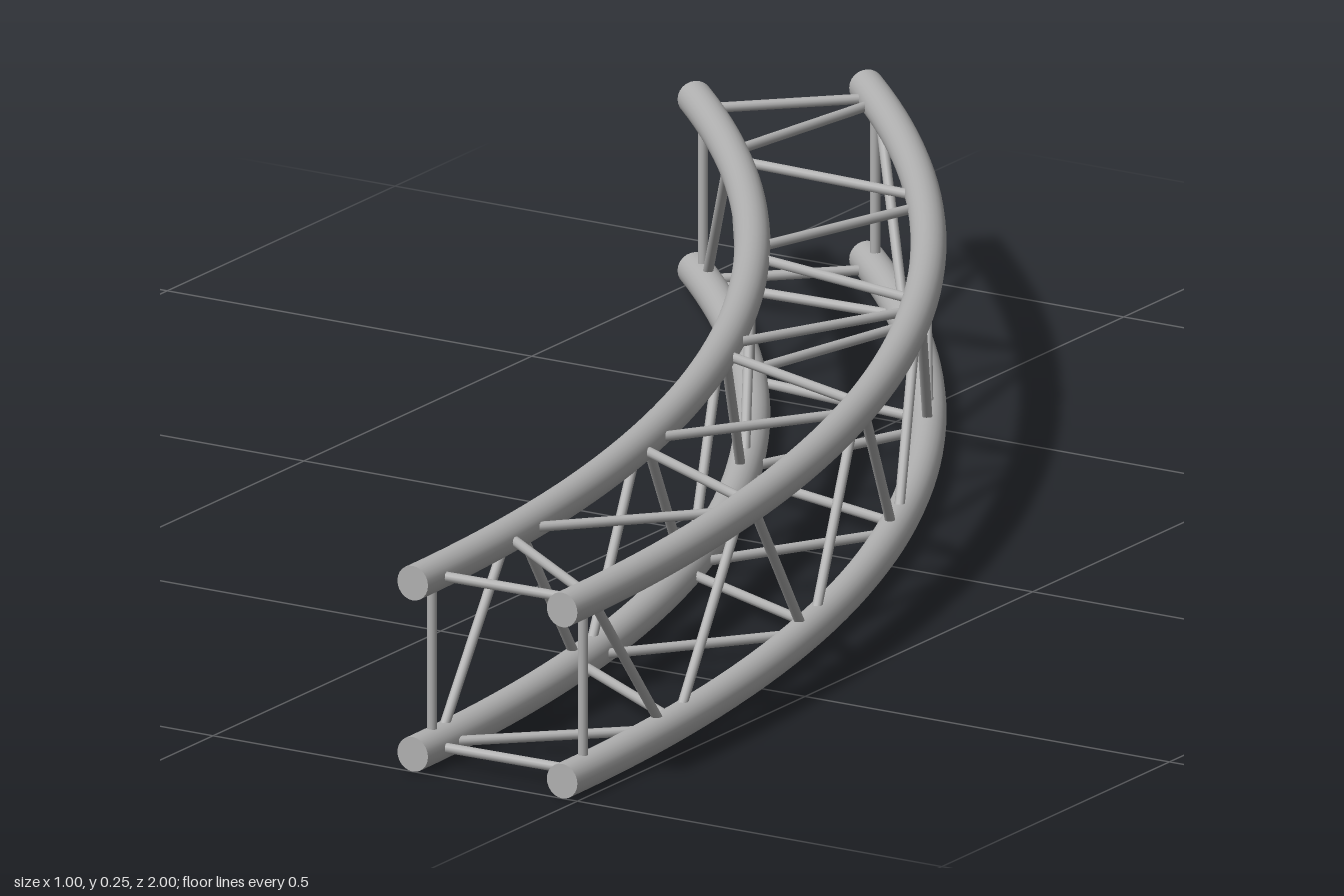
import * as THREE from 'three';

const CX = -2.328, CZ = 1;                 // centre of the bend
const R_IN = 2.602, R_OUT = 2.807;         // chord radii in plan
const Y_LOW = 0.022, Y_HIGH = 0.23;
const SWEEP = Math.PI / 4;
const CHORD_R = 0.021, BRACE_R = 0.006;
const PANELS = 10, END_GAP = 0.0165;       // end gap in radians

const at = (r, y, a) => new THREE.Vector3(CX + r * Math.cos(a), y, CZ - r * Math.sin(a));
const nodeAngle = (n) => END_GAP + (n / PANELS) * (SWEEP - 2 * END_GAP);

class ChordCurve extends THREE.Curve {
  constructor(r, y) {
    super();
    this.r = r;
    this.y = y;
  }
  getPoint(t, target = new THREE.Vector3()) {
    return target.copy(at(this.r, this.y, t * SWEEP));
  }
}

export function createModel() {
  const model = new THREE.Group();
  model.name = 'curvedTruss';
  const metal = new THREE.MeshStandardMaterial({ color: 0xb0b0b0 });
  metal.name = 'aluminium';

  const add = (name, geometry) => {
    const mesh = new THREE.Mesh(geometry, metal);
    mesh.name = name;
    model.add(mesh);
    return mesh;
  };

  // Thin round bar between two points
  const brace = (name, a, b) => {
    const dir = b.clone().sub(a);
    const bar = add(name, new THREE.CylinderGeometry(BRACE_R, BRACE_R, dir.length(), 12));
    bar.position.copy(a).add(b).multiplyScalar(0.5);
    bar.quaternion.setFromUnitVectors(new THREE.Vector3(0, 1, 0), dir.normalize());
  };

  // Four bent chords with closed ends
  for (const r of [R_IN, R_OUT]) {
    for (const y of [Y_LOW, Y_HIGH]) {
      const name = (r === R_IN ? 'inner' : 'outer') + (y === Y_LOW ? 'Lower' : 'Upper') + 'Chord';
      add(name, new THREE.TubeGeometry(new ChordCurve(r, y), 48, CHORD_R, 24, false));
      for (const a of [0, SWEEP]) {
        const cap = add(name + 'Cap', new THREE.CircleGeometry(CHORD_R, 24));
        cap.position.copy(at(r, y, a));
        cap.rotation.y = a === 0 ? 0 : a + Math.PI;
      }
    }
  }

  // Each face joins two chords; the first carries the even nodes
  const innerLow = [R_IN, Y_LOW], innerHigh = [R_IN, Y_HIGH];
  const outerLow = [R_OUT, Y_LOW], outerHigh = [R_OUT, Y_HIGH];
  const faces = [
    ['inner', innerLow, innerHigh],
    ['outer', outerHigh, outerLow],
    ['bottom', innerLow, outerLow],
    ['top', outerHigh, innerHigh],
  ];

  for (const [name, even, odd] of faces) {
    // Square end frames
    for (const n of [0, PANELS]) {
      brace(name + 'EndBrace', at(...even, nodeAngle(n)), at(...odd, nodeAngle(n)));
    }
    // Zigzag diagonals
    for (let n = 0; n < PANELS; n++) {
      const [from, to] = n % 2 === 0 ? [even, odd] : [odd, even];
      brace(name + 'Diagonal', at(...from, nodeAngle(n + 0.08)), at(...to, nodeAngle(n + 0.92)));
    }
  }
  return model;
}
